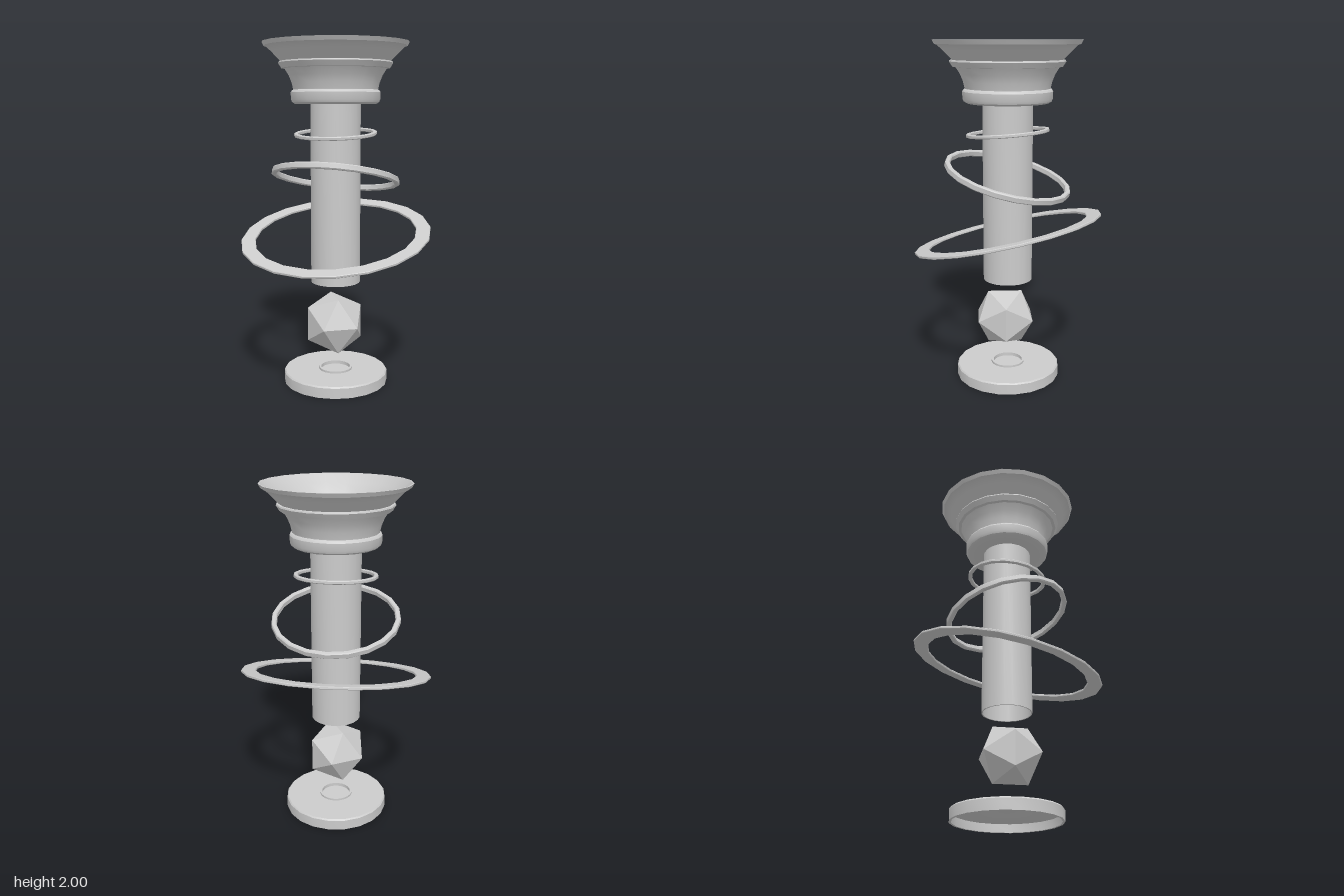
import * as THREE from 'three';
import { toCreasedNormals } from 'three/addons/utils/BufferGeometryUtils.js';

const SIDES = 20;
const grey = new THREE.MeshStandardMaterial({ color: 0xcccccc, side: THREE.DoubleSide });
const gemGrey = new THREE.MeshStandardMaterial({ color: 0xcccccc, flatShading: true });

// Turned part from [radius, height] points, listed counter-clockwise
function turned(name, points) {
  const profile = points.map(([r, y]) => new THREE.Vector2(r, y));
  const mesh = new THREE.Mesh(toCreasedNormals(new THREE.LatheGeometry(profile, SIDES), 0.6), grey);
  mesh.name = name;
  return mesh;
}

// Tilted hoop with a chamfered rectangular section
function hoop(name, outer, inner, height, y, tiltDegrees) {
  const h = height / 2, c = Math.min(height, outer - inner) * 0.2;
  const mesh = turned(name, [
    [outer, -h + c], [outer, h - c], [outer - c, h], [inner + c, h],
    [inner, h - c], [inner, -h + c], [inner + c, -h], [outer - c, -h], [outer, -h + c],
  ]);
  mesh.position.y = y;
  mesh.rotation.x = THREE.MathUtils.degToRad(tiltDegrees);
  return mesh;
}

export function createModel() {
  const model = new THREE.Group();
  model.name = 'floatingPedestal';

  // Hollow base plate with a small raised socket
  model.add(turned('base', [
    [0.297, 0], [0.31, 0], [0.31, 0.06], [0.303, 0.068], [0.1, 0.068], [0.1, 0.08],
    [0.087, 0.08], [0.087, 0.06], [0, 0.06],
  ]));
  model.add(turned('baseUnderside', [[0, 0.056], [0.087, 0.056], [0.1, 0.048], [0.297, 0.048], [0.297, 0]]));

  // Faceted gem floating over the base, lying with one edge on top
  const gem = new THREE.Mesh(new THREE.IcosahedronGeometry(0.19, 0), gemGrey);
  gem.name = 'gem';
  gem.position.set(0, 0.362, 0.02);
  gem.rotation.y = THREE.MathUtils.degToRad(-58.28);
  model.add(gem);

  // Open tubular column with a flange inside the bowl
  model.add(turned('column', [
    [0.138, 0.61], [0.145, 0.61], [0.145, 1.7], [0.162, 1.7], [0.162, 1.725],
    [0.138, 1.725], [0.138, 0.61],
  ]));

  // Hoops around the column
  model.add(hoop('lowerHoop', 0.56, 0.476, 0.016, 0.895, 14));
  model.add(hoop('middleHoop', 0.374, 0.345, 0.036, 1.232, -16));
  model.add(hoop('upperHoop', 0.24, 0.217, 0.02, 1.485, 5));

  // Flared bowl with a rounded foot, a ridge and a rim
  model.add(turned('bowl', [
    [0.145, 1.655], [0.235, 1.655], [0.25, 1.665], [0.256, 1.68], [0.258, 1.72], [0.25, 1.732],
    [0.243, 1.735], [0.252, 1.775], [0.268, 1.815], [0.292, 1.853],
    [0.31, 1.855], [0.328, 1.884], [0.325, 1.892], [0.312, 1.893],
    [0.337, 1.918], [0.368, 1.95], [0.394, 1.974], [0.408, 1.978], [0.42, 2],
    [0.412, 2], [0.36, 1.95], [0.31, 1.9], [0.272, 1.84], [0.25, 1.78], [0.241, 1.72], [0.162, 1.72],
  ]));

  return model;
}
